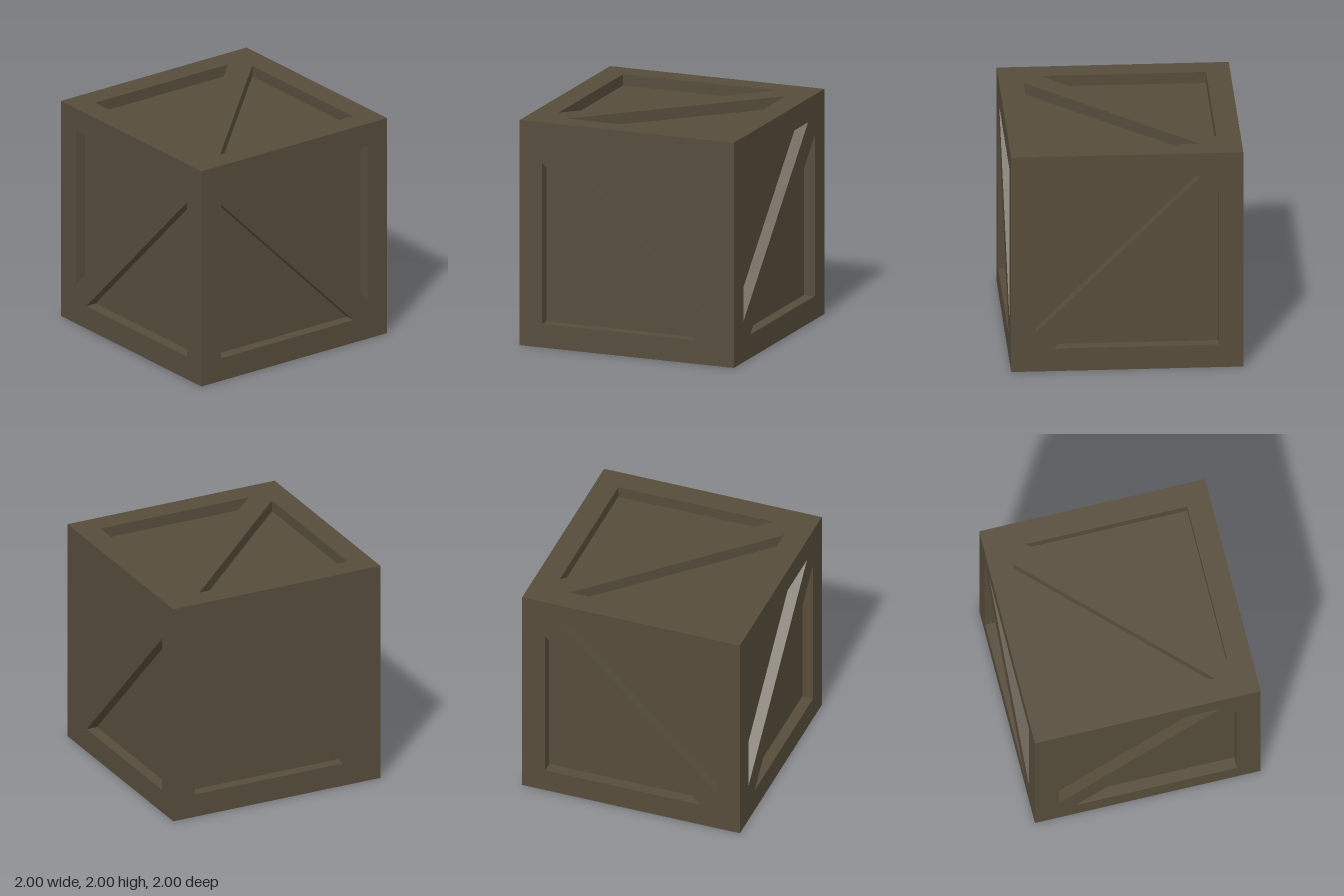
import * as THREE from 'three';

const HALF = 1;        // half the crate's side
const BEAM = 0.21;     // width of the frame beams
const DEPTH = 0.1;     // how far the panels sit back
const INNER = HALF - BEAM;
const CUT = 0.64;      // where the brace meets the frame

export function createModel() {
  const crate = new THREE.Group();
  crate.name = 'crate';
  const wood = new THREE.MeshStandardMaterial({ color: 0x564c3b });
  wood.name = 'dark wood';

  const add = (name, geometry) => {
    const mesh = new THREE.Mesh(geometry, wood);
    mesh.name = name;
    crate.add(mesh);
    return mesh;
  };

  // Recessed panels: one inner box shows through all six frames
  const core = 2 * (HALF - DEPTH);
  add('panels', new THREE.BoxGeometry(core, core, core));

  // Frame: four full-height posts, and rails fitted between them
  const post = new THREE.BoxGeometry(BEAM, 2 * HALF, BEAM);
  const railX = new THREE.BoxGeometry(2 * INNER, BEAM, BEAM);
  const railZ = new THREE.BoxGeometry(BEAM, BEAM, 2 * INNER);
  const mid = HALF - BEAM / 2;
  for (const a of [-mid, mid]) {
    for (const b of [-mid, mid]) {
      add('cornerPost', post).position.set(a, 0, b);
      add('crossRail', railX).position.set(0, a, b);
      add('sideRail', railZ).position.set(a, b, 0);
    }
  }

  // Diagonal brace, rising to the right (1) or falling (-1), flush with the frame
  const braceGeometry = (dir) => {
    const corners = [
      [-INNER, -INNER], [-CUT, -INNER], [INNER, CUT],
      [INNER, INNER], [CUT, INNER], [-INNER, -CUT],
    ];
    const shape = new THREE.Shape(corners.map(([x, y]) => new THREE.Vector2(x, y * dir)));
    return new THREE.ExtrudeGeometry(shape, { depth: DEPTH, bevelEnabled: false })
      .translate(0, 0, HALF - DEPTH);
  };
  const rising = braceGeometry(1);
  const falling = braceGeometry(-1);
  const q = Math.PI / 2;
  const braces = [
    ['frontBrace', falling, 0, 0],
    ['backBrace', falling, 0, 2 * q],
    ['leftBrace', rising, 0, q],
    ['rightBrace', rising, 0, -q],
    ['topBrace', rising, -q, 0],
    ['bottomBrace', rising, q, 0],
  ];
  for (const [name, geometry, rx, ry] of braces) add(name, geometry).rotation.set(rx, ry, 0);

  // Stand the crate on the ground
  for (const part of crate.children) part.position.y += HALF;
  return crate;
}
